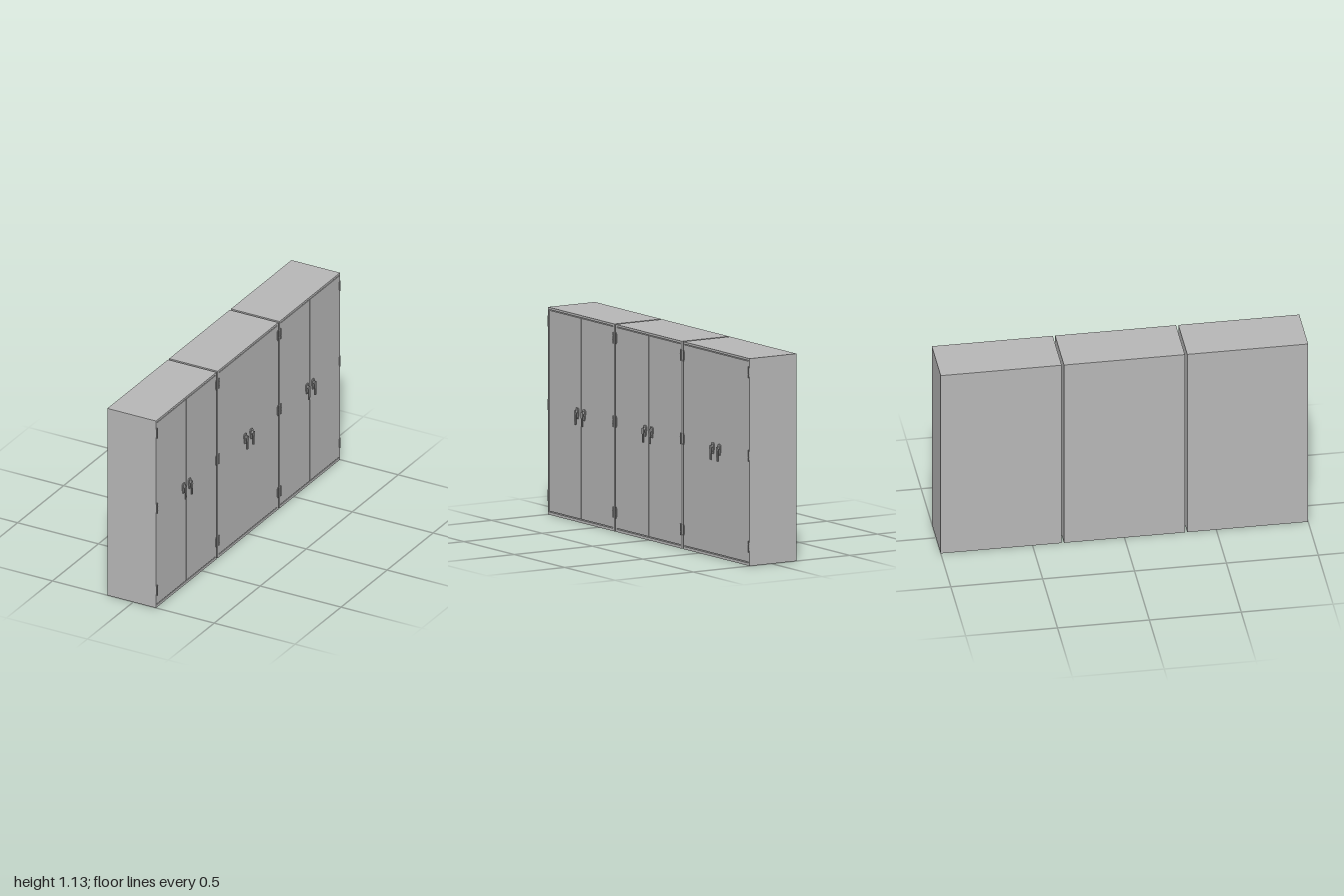
import * as THREE from 'three';

const H = 1.13, W = 0.658, PITCH = 0.671, BACK = -0.16, FRONT = 0.14, WALL = 0.012, GAP = 0.003;

const bodyGrey = new THREE.MeshStandardMaterial({ color: 0xb6b6b6 });
bodyGrey.name = 'cabinetGrey';
const metalGrey = new THREE.MeshStandardMaterial({ color: 0x969696 });
metalGrey.name = 'metalGrey';

// Box given by its low and high corners
function box(name, mat, x0, x1, y0, y1, z0, z1) {
  const mesh = new THREE.Mesh(new THREE.BoxGeometry(x1 - x0, y1 - y0, z1 - z0), mat);
  mesh.position.set((x0 + x1) / 2, (y0 + y1) / 2, (z0 + z1) / 2);
  mesh.name = name;
  return mesh;
}

// Outline in the door plane, extruded outward along +x
function plate(name, points, x, depth) {
  const shape = new THREE.Shape(points.map(([a, b]) => new THREE.Vector2(a, b)));
  const geo = new THREE.ExtrudeGeometry(shape, { depth, bevelEnabled: false });
  geo.rotateY(Math.PI / 2);
  const mesh = new THREE.Mesh(geo, metalGrey);
  mesh.position.x = x;
  mesh.name = name;
  return mesh;
}

function createHandle() {
  const g = new THREE.Group();
  g.name = 'handle';
  // Tapered mounting plate
  g.add(plate('handlePlate', [[-0.007, -0.036], [0.007, -0.036], [0.014, 0],
    [0.014, 0.016], [0.008, 0.024], [-0.008, 0.024], [-0.014, 0.016], [-0.014, 0]], FRONT, 0.006));
  // Pivot boss
  const boss = new THREE.Mesh(new THREE.CylinderGeometry(0.008, 0.009, 0.012, 16), metalGrey);
  boss.rotation.z = -Math.PI / 2;
  boss.position.set(FRONT + 0.01, 0.005, 0);
  boss.name = 'handlePivot';
  g.add(boss);
  // Lever hanging down from the pivot
  g.add(plate('handleLever', [[-0.005, -0.068], [0.005, -0.068], [0.006, -0.03],
    [0.010, -0.005], [0.008, 0.01], [-0.008, 0.01], [-0.010, -0.005], [-0.006, -0.03]], FRONT + 0.013, 0.006));
  return g;
}

function createHinge() {
  const g = new THREE.Group();
  g.name = 'hinge';
  g.add(box('hingeLeaf', metalGrey, FRONT, FRONT + 0.003, -0.024, 0.024, -0.006, 0.006));
  // Knuckle in three barrels
  for (const y of [-0.021, 0, 0.021]) {
    const barrel = new THREE.Mesh(new THREE.CylinderGeometry(0.0035, 0.0035, 0.019, 10), metalGrey);
    barrel.position.set(FRONT + 0.0035, y, 0);
    barrel.name = 'hingeBarrel';
    g.add(barrel);
  }
  return g;
}

function createCabinet() {
  const g = new THREE.Group();
  g.name = 'cabinet';
  const h = W / 2, inner = h - WALL;
  // Open-fronted case
  g.add(box('backPanel', bodyGrey, BACK, BACK + WALL, 0, H, -h, h));
  g.add(box('topPanel', bodyGrey, BACK + WALL, FRONT, H - WALL, H, -h, h));
  g.add(box('bottomPanel', bodyGrey, BACK + WALL, FRONT, 0, WALL + 0.003, -h, h));
  for (const s of [-1, 1]) {
    const side = box('sidePanel', bodyGrey, BACK + WALL, FRONT, WALL + 0.003, H - WALL, -WALL / 2, WALL / 2);
    side.position.z = s * (h - WALL / 2);
    g.add(side);

    // Door leaf, set flush inside the case
    const width = inner - 0.0015 - GAP / 2;
    const door = box('door', bodyGrey, FRONT - 0.015, FRONT, WALL + 0.003 + 0.005, H - WALL - 0.004, -width / 2, width / 2);
    door.position.z = s * (GAP / 2 + width / 2);
    g.add(door);

    const handle = createHandle();
    handle.position.set(0, 0.598, s * 0.033);
    g.add(handle);

    for (const y of [0.105, 0.6, 1.055]) {
      const hinge = createHinge();
      hinge.position.set(0, y, s * (h - 0.007));
      g.add(hinge);
    }
  }
  // Stop strip behind the meeting edges
  g.add(box('doorStop', bodyGrey, FRONT - 0.022, FRONT - 0.015, WALL, H - WALL, -0.012, 0.012));
  return g;
}

export function createModel() {
  const model = new THREE.Group();
  model.name = 'cabinetRow';
  for (const i of [-1, 0, 1]) {
    const cabinet = createCabinet();
    cabinet.position.z = i * PITCH;
    model.add(cabinet);
  }
  return model;
}
